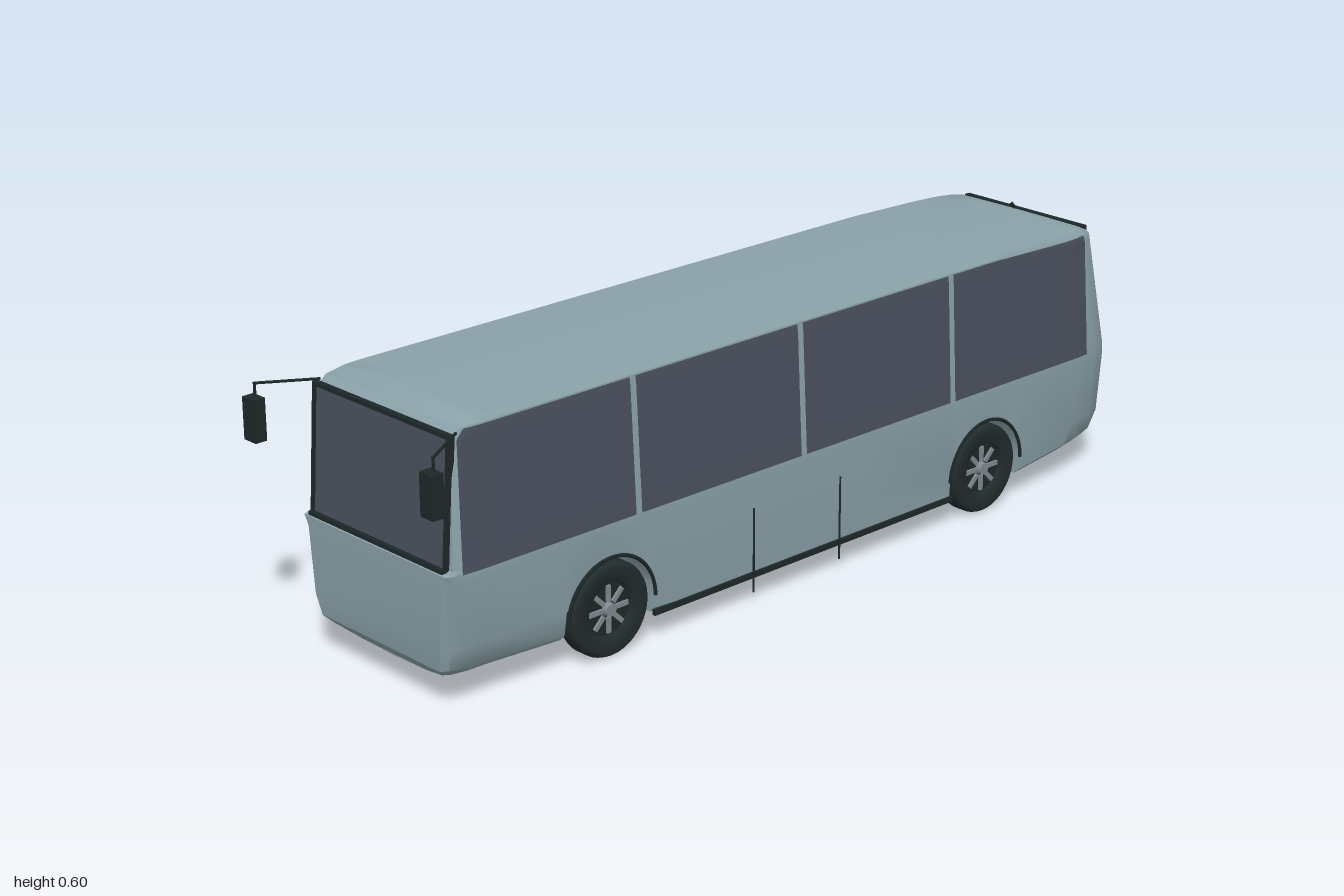
import * as THREE from 'three';
import { toCreasedNormals } from 'three/addons/utils/BufferGeometryUtils.js';

const material = (name, color, side = THREE.FrontSide) => {
  const m = new THREE.MeshStandardMaterial({ color, side });
  m.name = name;
  return m;
};

// Linear lookup in a short table of [key, value] pairs
function lookup(table, k) {
  if (k <= table[0][0]) return table[0][1];
  for (let i = 1; i < table.length; i++) {
    const [a, va] = table[i - 1], [b, vb] = table[i];
    if (k <= b) return va + (vb - va) * (k - a) / (b - a);
  }
  return table[table.length - 1][1];
}

// Side profiles of the two ends, by height, and how far the corners pull in
const frontZ = [[0.05, 0.88], [0.085, 0.914], [0.13, 0.92], [0.29, 0.92], [0.297, 0.903], [0.55, 0.885], [0.57, 0.865], [0.587, 0.82]];
const rearZ = [[0.05, -0.955], [0.085, -0.988], [0.13, -1], [0.3, -0.997], [0.55, -0.952], [0.57, -0.942], [0.587, -0.905]];
const frontInset = [[0, 0.008], [0.015, 0.003], [0.05, 0], [0.1, 0]];
const rearInset = [[0, 0.034], [0.02, 0.015], [0.06, 0.005], [0.12, 0]];

// Half cross-sections [x, y] from the floor to the roof centre
const upper = [[0.226, 0.27], [0.2255, 0.29], [0.225, 0.297], [0.2115, 0.55], [0.209, 0.57], [0.2, 0.58], [0.1, 0.585], [0, 0.587]];
const middle = [[0, 0.055], [0.12, 0.055], [0.21, 0.058], [0.22, 0.068], [0.223, 0.13], ...upper];
const nose = [[0, 0.047], [0.11, 0.05], [0.185, 0.068], [0.2, 0.085], [0.212, 0.13], ...upper];

const axles = [0.513, -0.578];
const wheelY = 0.1, archR = 0.112;
const roofDrop = (y, z) => (y > 0.56 && z < -0.6 ? 0.03 * (-0.6 - z) : 0);

function bodyGeometry() {
  // Stations along the length: the arches rise as tunnels across the floor
  const stations = [];
  [0, 0.02, 0.06, 0.12].forEach(d => stations.push({ z: -0.98 + d, rear: d, arch: 0 }));
  for (const c of [...axles].reverse()) {
    stations.push({ z: c - archR, arch: 0 });
    for (let i = 0; i <= 14; i++) {
      const a = Math.PI * (1 - i / 14);
      stations.push({ z: c + archR * Math.cos(a), arch: wheelY + archR * Math.sin(a) });
    }
    stations.push({ z: c + archR, arch: 0 });
    if (c < 0) [-0.2, 0.1, 0.34].forEach(z => stations.push({ z, arch: 0 }));
  }
  [0.1, 0.05, 0.015, 0].forEach(d => stations.push({ z: 0.9 - d, front: d, arch: 0 }));

  const pos = [], idx = [], last = middle.length - 1, ring = last * 2;
  for (const s of stations) {
    const blend = lookup([[-0.95, 1], [-0.7, 0], [0.35, 0], [0.82, 1]], s.z);
    const half = middle.map(([mx, my], k) => {
      let x = mx + (nose[k][0] - mx) * blend;
      const y0 = my + (nose[k][1] - my) * blend;
      let y = k < 5 ? Math.max(y0, s.arch) : y0, z = s.z;
      if (s.front !== undefined) {
        z = lookup(frontZ, y) - s.front;
        x *= 1 - lookup(frontInset, s.front) * (y < 0.28 ? 2.5 : 1) / 0.22;
      }
      if (s.rear !== undefined) {
        z = lookup(rearZ, y) + s.rear;
        x *= 1 - lookup(rearInset, s.rear) / 0.22;
      }
      y -= roofDrop(y, z);
      return [x, y, z];
    });
    half.forEach(p => pos.push(...p));
    for (let k = last - 1; k > 0; k--) pos.push(-half[k][0], half[k][1], half[k][2]);
  }
  const quad = (a, b, c, d) => idx.push(a, b, c, a, c, d);
  for (let i = 0; i < stations.length - 1; i++) {
    for (let j = 0; j < ring; j++) {
      const n = (j + 1) % ring, a = i * ring, b = a + ring;
      quad(a + j, a + n, b + n, b + j);
    }
  }
  // End faces
  const end = (stations.length - 1) * ring;
  for (let k = 0; k < last; k++) {
    const l = (ring - k) % ring, l2 = ring - k - 1;
    quad(end + l, end + k, end + k + 1, end + l2);
    quad(l2, k + 1, k, l);
  }
  const g = new THREE.BufferGeometry();
  g.setAttribute('position', new THREE.Float32BufferAttribute(pos, 3));
  g.setIndex(idx);
  return toCreasedNormals(g, 0.6);
}

// Side pane that follows the body wall between two z positions
function paneGeometry(z0, z1, side) {
  const cols = 12, rows = [0.288, 0.297, 0.55, 0.568];
  const wall = upper.map(([x, y]) => [y, x]);
  const pos = [], idx = [];
  for (let i = 0; i <= cols; i++) {
    for (const y of rows) {
      const f = lookup(frontZ, Math.max(y, 0.297)), r = lookup(rearZ, y);
      const z = Math.min(z0 + (z1 - z0) * i / cols, f - 0.008);
      const x = lookup(wall, y) + 0.003 - lookup(frontInset, f - z) - lookup(rearInset, z - r);
      pos.push(side * x, y - roofDrop(y, z), z);
    }
  }
  for (let i = 0; i < cols; i++) {
    for (let j = 0; j < rows.length - 1; j++) {
      const a = i * rows.length + j, b = a + rows.length;
      if (side > 0) idx.push(a, a + 1, b + 1, a, b + 1, b);
      else idx.push(a, b + 1, a + 1, a, b, b + 1);
    }
  }
  const g = new THREE.BufferGeometry();
  g.setAttribute('position', new THREE.Float32BufferAttribute(pos, 3));
  g.setIndex(idx);
  g.computeVertexNormals();
  return g;
}

export function createModel() {
  const paint = material('body paint', 0x8aa1a8);
  const glass = material('tinted glass', 0x4b505e, THREE.DoubleSide);
  const black = material('black trim', 0x1d2828);
  const rubber = material('tyre rubber', 0x212c2c);
  const metal = material('wheel metal', 0x7f8a90);

  const model = new THREE.Group();
  const add = (parent, name, geo, mat, x = 0, y = 0, z = 0) => {
    const m = new THREE.Mesh(geo, mat);
    m.name = name;
    m.position.set(x, y, z);
    parent.add(m);
    return m;
  };
  const box = (parent, name, mat, w, h, d, x, y, z) =>
    add(parent, name, new THREE.BoxGeometry(w, h, d), mat, x, y, z);
  const rod = (parent, name, a, b, r) => {
    const path = new THREE.LineCurve3(new THREE.Vector3(...a), new THREE.Vector3(...b));
    add(parent, name, new THREE.TubeGeometry(path, 1, r, 8), black);
  };

  add(model, 'body', bodyGeometry(), paint);

  // Windscreen and its frame
  const screen = new THREE.Group();
  screen.name = 'windscreen';
  screen.position.set(0, 0.425, 0.896);
  screen.rotation.x = -0.07;
  model.add(screen);
  box(screen, 'windscreenGlass', glass, 0.4, 0.258, 0.006, 0, 0, 0);
  for (const s of [-1, 1]) box(screen, 'windscreenPost', black, 0.009, 0.268, 0.014, s * 0.203, 0, 0);
  box(screen, 'windscreenHeader', black, 0.415, 0.008, 0.014, 0, 0.132, 0);
  box(screen, 'windscreenSill', black, 0.41, 0.008, 0.02, 0, -0.13, 0.004);

  // Wheel: tyre, dark dish, spokes and hub, outer face towards +y before turning
  const tyre = new THREE.LatheGeometry([
    [0.056, -0.024], [0.09, -0.026], [0.097, -0.022], [0.1, -0.015], [0.1, 0.015],
    [0.097, 0.022], [0.09, 0.026], [0.06, 0.025], [0.056, 0.012],
  ].map(p => new THREE.Vector2(...p)), 40);
  const makeWheel = () => {
    const wheel = new THREE.Group();
    wheel.name = 'wheel';
    add(wheel, 'tyre', tyre, rubber);
    add(wheel, 'wheelDish', new THREE.CylinderGeometry(0.057, 0.057, 0.036, 32), black, 0, -0.006, 0);
    add(wheel, 'hub', new THREE.CylinderGeometry(0.013, 0.016, 0.014, 16), metal, 0, 0.017, 0);
    for (let i = 0; i < 8; i++) {
      const a = i * Math.PI / 4;
      const spoke = box(wheel, 'spoke', metal, 0.034, 0.006, 0.01, 0.034 * Math.cos(a), 0.014, -0.034 * Math.sin(a));
      spoke.rotation.y = a;
    }
    return wheel;
  };

  const paneEdges = [[-0.905, -0.468], [-0.453, -0.018], [-0.003, 0.437], [0.452, 0.885]];
  for (const s of [-1, 1]) {
    for (const [a, b] of paneEdges) add(model, 'sideWindow', paneGeometry(a, b, s), glass);

    for (const z of axles) {
      const wheel = makeWheel();
      wheel.position.set(s * 0.196, wheelY, z);
      wheel.rotation.z = -s * Math.PI / 2;
      model.add(wheel);
      const arch = add(model, 'archTrim', new THREE.TorusGeometry(archR + 0.002, 0.004, 6, 32, Math.PI), black, s * 0.223, wheelY, z);
      arch.rotation.y = Math.PI / 2;
    }

    // Skirt rail and thin panel seams
    box(model, 'skirtRail', black, 0.008, 0.012, 0.875, s * 0.219, 0.06, -0.037);
    for (const z of [-0.12, 0.13]) box(model, 'panelSeam', black, 0.003, 0.185, 0.003, s * 0.2255, 0.117, z);

    // Mirror on a bent arm
    rod(model, 'mirrorArm', [s * 0.205, 0.562, 0.875], [s * 0.272, 0.562, 0.982], 0.003);
    rod(model, 'mirrorStem', [s * 0.272, 0.565, 0.982], [s * 0.272, 0.53, 0.982], 0.003);
    box(model, 'mirrorHousing', black, 0.037, 0.088, 0.027, s * 0.271, 0.491, 0.9865);
    box(model, 'mirrorGlass', paint, 0.031, 0.08, 0.002, s * 0.271, 0.491, 0.9725);
  }

  // Rear trims and roof aerial
  box(model, 'rearTopTrim', black, 0.35, 0.012, 0.014, 0, 0.562, -0.941);
  box(model, 'rearLowerTrim', black, 0.32, 0.012, 0.012, 0, 0.082, -0.984);
  rod(model, 'roofAerial', [0, 0.57, -0.915], [0, 0.596, -0.89], 0.004);
  return model;
}
